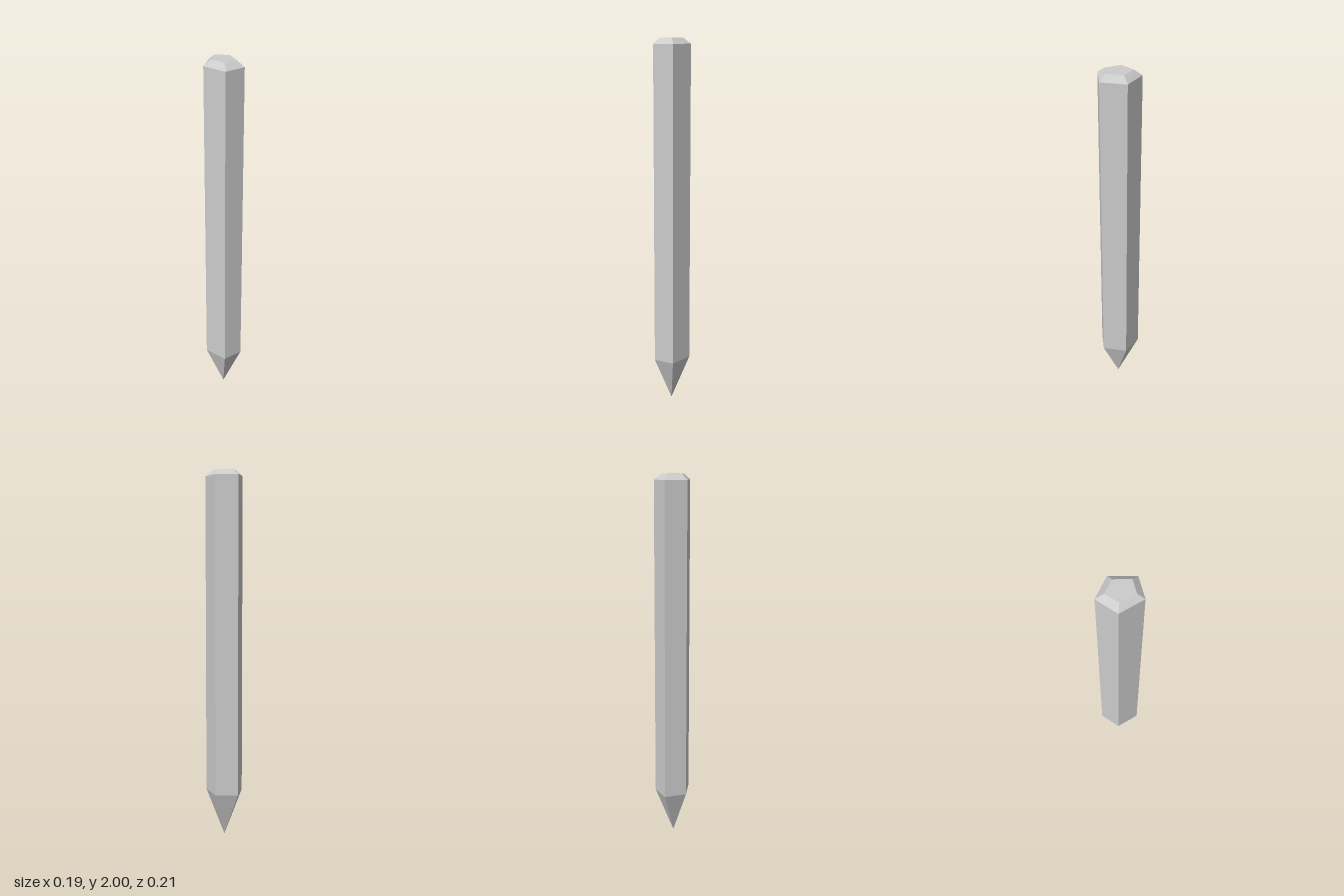
import * as THREE from 'three';

// Five-sided cross-section as [x, z], clockwise seen from above
const SECTION = [[0, -0.106], [0.093, -0.026], [0.057, 0.104], [-0.057, 0.104], [-0.093, -0.026]];
const CENTRE_Z = 0.013;

// The cross-section at height y, scaled about the shaft's axis
function ring(y, sx = 1, sz = sx) {
  return SECTION.map(([x, z]) => [x * sx, y, CENTRE_Z + (z - CENTRE_Z) * sz]);
}

// Flat-shaded mesh from triangles
function facetedMesh(name, triangles, material) {
  const geometry = new THREE.BufferGeometry();
  geometry.setAttribute('position', new THREE.Float32BufferAttribute(triangles.flat(2), 3));
  geometry.computeVertexNormals();
  const mesh = new THREE.Mesh(geometry, material);
  mesh.name = name;
  return mesh;
}

// Side walls between two rings
function walls(lower, upper) {
  return lower.flatMap((a, i) => {
    const j = (i + 1) % lower.length;
    return [[lower[j], a, upper[i]], [lower[j], upper[i], upper[j]]];
  });
}

export function createModel() {
  const group = new THREE.Group();
  group.name = 'pointedStake';
  const material = new THREE.MeshStandardMaterial({ color: 0xcccccc, flatShading: true });

  const shoulder = ring(0.25);
  const rim = ring(1.97);
  const crown = ring(2, 0.61, 0.643);
  const apex = [0, 0, CENTRE_Z];
  const next = (r, i) => r[(i + 1) % r.length];

  // Sharpened point
  group.add(facetedMesh('point', shoulder.map((p, i) => [apex, p, next(shoulder, i)]), material));

  // Long straight shaft
  group.add(facetedMesh('shaft', walls(shoulder, rim), material));

  // Bevelled head with its flat top
  const top = [1, 2, 3].map((i) => [crown[0], crown[i + 1], crown[i]]);
  group.add(facetedMesh('bevelledHead', [...walls(rim, crown), ...top], material));

  return group;
}
